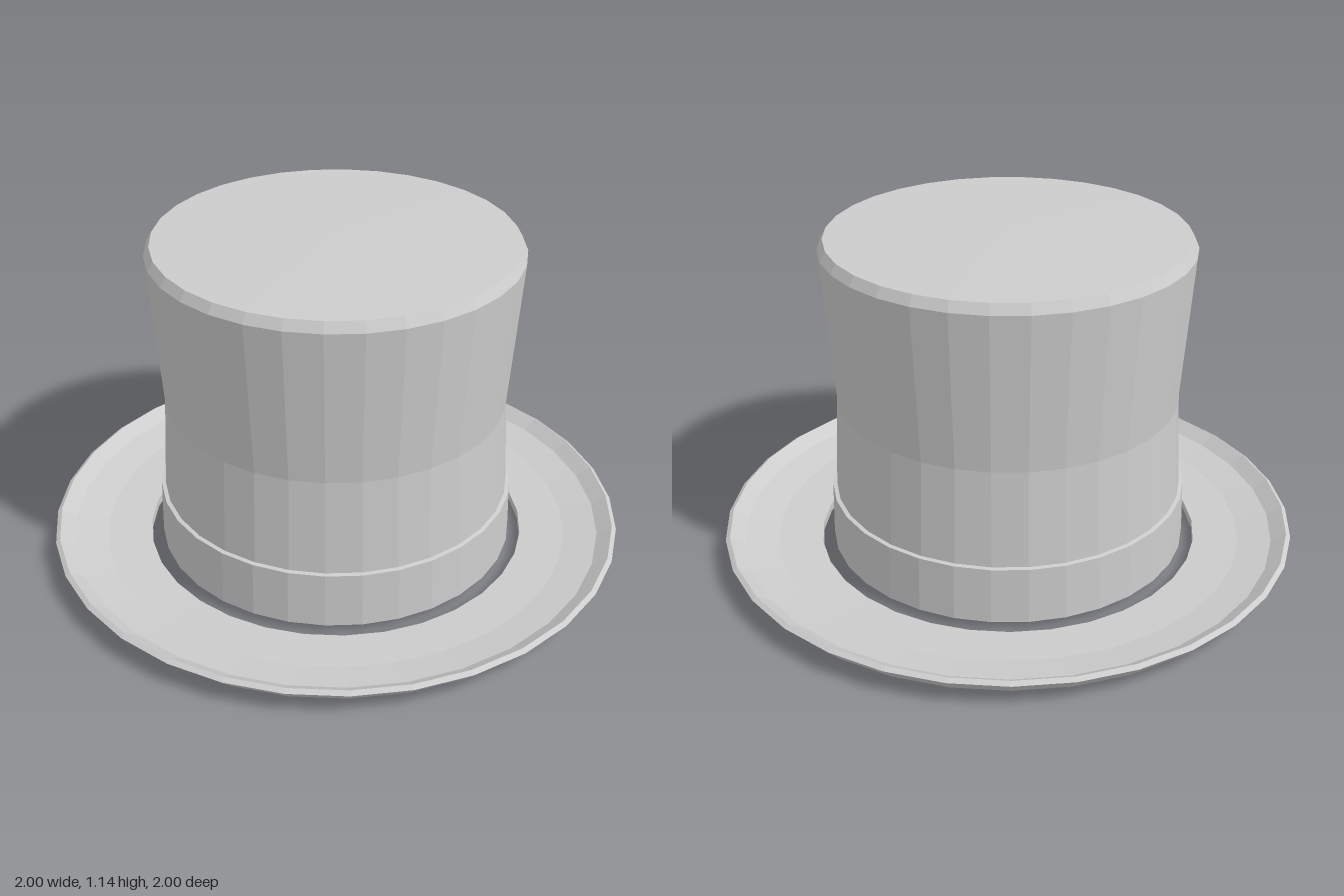
import * as THREE from 'three';

const SIDES = 32;

// Revolves a [radius, height] profile into a faceted mesh
function lathe(name, profile, material, turn = 0) {
  const points = profile.map(([r, y]) => new THREE.Vector2(r, y));
  const mesh = new THREE.Mesh(new THREE.LatheGeometry(points, SIDES), material);
  mesh.name = name;
  mesh.rotation.y = turn;
  return mesh;
}

export function createModel() {
  const hat = new THREE.Group();
  hat.name = 'topHat';

  const felt = new THREE.MeshStandardMaterial({ color: 0xcccccc, flatShading: true, side: THREE.DoubleSide });
  felt.name = 'grey felt';

  // Dished brim: closed ring with an upturned rim, separate from the crown
  hat.add(lathe('brim', [
    [0.665, 0.005], [0.83, 0], [0.95, 0.03],
    [1, 0.085], [0.985, 0.095],
    [0.935, 0.06], [0.82, 0.04], [0.665, 0.035], [0.665, 0.005],
  ], felt));

  // Crown: open below, with a raised band, a narrow waist and a bevelled lid
  const halfStep = Math.PI / SIDES;
  hat.add(lathe('crown', [
    [0.622, 0.04], [0.617, 0.235], [0.603, 0.237],
    [0.585, 0.57], [0.622, 1.105], [0.603, 1.138], [0, 1.145],
  ], felt, halfStep));

  return hat;
}
